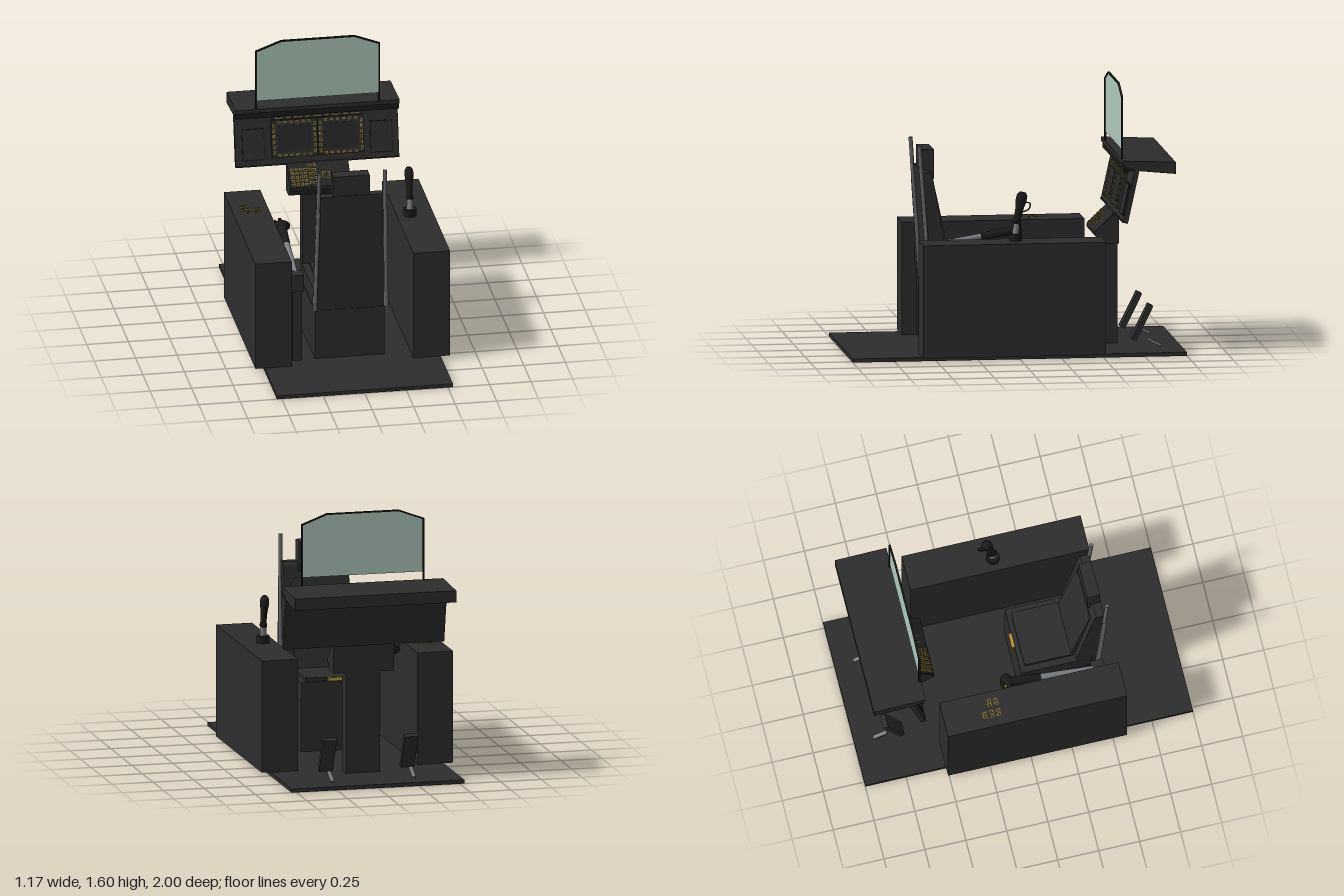
import * as THREE from 'three';

const mat = (name, color, side = THREE.FrontSide) => {
  const m = new THREE.MeshStandardMaterial({ color, side });
  m.name = name;
  return m;
};

export function createModel() {
  const body = mat('charcoal', 0x2d2d2d);
  const dark = mat('nearBlack', 0x1b1b1b);
  const screen = mat('screenGrey', 0x262626);
  const metal = mat('railGrey', 0x68676c);
  const light = mat('shaftGrey', 0x7c7f84);
  const yellow = mat('markingYellow', 0xb89b30);
  const glass = mat('greenGlass', 0xafcabc, THREE.DoubleSide);

  const root = new THREE.Group();
  root.name = 'cockpitSimulator';

  const add = (parent, name, geo, m, x = 0, y = 0, z = 0) => {
    const mesh = new THREE.Mesh(geo, m);
    mesh.name = name;
    mesh.position.set(x, y, z);
    parent.add(mesh);
    return mesh;
  };
  // Box given by its extents
  const box = (parent, name, m, x0, x1, y0, y1, z0, z1) =>
    add(parent, name, new THREE.BoxGeometry(x1 - x0, y1 - y0, z1 - z0), m,
      (x0 + x1) / 2, (y0 + y1) / 2, (z0 + z1) / 2);
  // Side profile of [z, y] points, extruded across x
  const profile = (parent, name, m, pts, width, x = 0) => {
    const shape = new THREE.Shape(pts.map(p => new THREE.Vector2(p[0], p[1])));
    const g = new THREE.ExtrudeGeometry(shape, { depth: width, bevelEnabled: false });
    g.rotateY(-Math.PI / 2).translate(width / 2, 0, 0);
    return add(parent, name, g, m, x);
  };
  // Straight round bar between two points
  const rod = (parent, name, m, a, b, r0, r1 = r0, sides = 16) => {
    const A = new THREE.Vector3(...a), B = new THREE.Vector3(...b), d = B.clone().sub(A);
    const mesh = add(parent, name, new THREE.CylinderGeometry(r1, r0, d.length(), sides), m);
    mesh.position.copy(A).add(B).multiplyScalar(0.5);
    mesh.quaternion.setFromUnitVectors(new THREE.Vector3(0, 1, 0), d.normalize());
    return mesh;
  };
  const group = (name, x, y, z, tilt = 0) => {
    const g = new THREE.Group();
    g.name = name;
    g.position.set(x, y, z);
    g.rotation.x = tilt;
    root.add(g);
    return g;
  };
  // Outlined key lying in the local xy plane
  const key = (parent, x, y, z, w = 0.017, h = 0.015) => {
    box(parent, 'keyOutline', yellow, x - w / 2, x + w / 2, y - h / 2, y + h / 2, z, z + 0.004);
    const b = 0.0035;
    box(parent, 'keyCap', body, x - w / 2 + b, x + w / 2 - b, y - h / 2 + b, y + h / 2 - b, z, z + 0.006);
  };

  // Floor and side consoles
  box(root, 'floor', body, -0.53, 0.53, 0, 0.022, -1, 1);
  box(root, 'leftSwitchConsole', body, -0.587, -0.368, 0.024, 0.7, -0.508, 0.585);
  box(root, 'stickConsole', body, 0.364, 0.585, 0.024, 0.7, -0.508, 0.585);
  const switches = group('consoleSwitches', 0, 0.7, 0, -Math.PI / 2);
  for (const [x, z] of [[-0.51, -0.265], [-0.51, -0.222], [-0.51, -0.18], [-0.44, -0.222], [-0.44, -0.18]])
    for (const s of [-1, 1]) key(switches, x + s * 0.012, -z, 0.002, 0.02, 0.022);

  // Centre pedestal with sloping keypad
  box(root, 'pedestal', body, -0.105, 0.105, 0.022, 0.65, -0.64, -0.55);
  profile(root, 'keypadHousing', body,
    [[-0.55, 0.63], [-0.495, 0.68], [-0.495, 0.695], [-0.615, 0.81], [-0.64, 0.81], [-0.64, 0.63]], 0.37, -0.005);
  const keypad = group('keypad', 0, 0.695, -0.495, -Math.atan2(0.12, 0.115));
  box(keypad, 'keypadPlate', screen, -0.185, 0.175, 0.005, 0.16, 0, 0.005);
  for (let r = 0; r < 5; r++) {
    for (let c = 0; c < 4; c++) key(keypad, -0.165 + c * 0.026, 0.022 + r * 0.024, 0.005);
    key(keypad, -0.045, 0.03 + r * 0.028, 0.005, 0.045, 0.015);
  }
  key(keypad, 0.035, 0.075, 0.005, 0.045, 0.04);

  // Instrument panel, tilted away from the seat
  const tilt = -Math.atan2(0.07, 0.32);
  const panel = group('instrumentPanel', 0, 0.8, -0.622, tilt);
  box(panel, 'panelPlate', body, -0.495, 0.49, 0, 0.335, -0.03, 0);
  box(panel, 'panelLowerTrim', dark, -0.495, 0.49, 0, 0.008, 0, 0.004);
  for (const s of [-1, 1]) {
    box(panel, 'sideDisplayFrame', dark, s * 0.385 - 0.068, s * 0.385 + 0.068, 0.035, 0.23, 0, 0.005);
    box(panel, 'sideDisplay', body, s * 0.385 - 0.063, s * 0.385 + 0.063, 0.045, 0.225, 0, 0.008);
    const cx = s * 0.14;
    box(panel, 'mainDisplayBezel', body, cx - 0.138, cx + 0.138, 0.05, 0.275, 0, 0.025);
    box(panel, 'mainDisplay', screen, cx - 0.1, cx + 0.1, 0.085, 0.24, 0.025, 0.028);
    for (let i = 0; i < 6; i++) {
      const t = i / 5 - 0.5;
      for (const e of [-1, 1]) {
        key(panel, cx + e * 0.124, 0.163 + t * 0.165, 0.025, 0.014, 0.018);
        key(panel, cx + t * 0.18, 0.163 + e * 0.1, 0.025, 0.018, 0.013);
      }
    }
  }
  box(panel, 'upperControls', screen, -0.27, 0.27, 0.278, 0.318, 0, 0.02);
  for (let i = 0; i < 9; i++) key(panel, -0.23 + i * 0.0575, 0.3, 0.02, i % 2 ? 0.022 : 0.045, 0.026);

  // Glare shield
  profile(root, 'glareShield', body,
    [[-0.623, 1.145], [-0.623, 1.17], [-0.938, 1.158], [-0.938, 1.087], [-0.72, 1.108]], 0.987, -0.002);
  box(root, 'glareShieldShadowLip', dark, -0.494, 0.489, 1.108, 1.144, -0.69, -0.632);

  // Sight glass and its frame
  const outline = [[0.37, 1.165], [0.37, 1.54], [0.22, 1.597], [-0.22, 1.597], [-0.372, 1.54], [-0.372, 1.165]];
  for (let i = 0; i < 5; i++) {
    const [a, b] = [outline[i], outline[i + 1]];
    const len = Math.hypot(b[0] - a[0], b[1] - a[1]);
    const bar = add(root, 'glassFrame', new THREE.BoxGeometry(len + 0.006, 0.009, 0.012), dark,
      (a[0] + b[0]) / 2, (a[1] + b[1]) / 2, -0.632);
    bar.rotation.z = Math.atan2(b[1] - a[1], b[0] - a[0]);
  }
  const pane = new THREE.Shape(outline.map(([x, y]) => new THREE.Vector2(x, Math.max(y, 1.22))));
  add(root, 'sightGlass', new THREE.ShapeGeometry(pane), glass, 0, 0, -0.632);

  // Seat base, pan, cushions and handle
  box(root, 'seatBase', body, -0.213, 0.207, 0.022, 0.33, 0.03, 0.49);
  box(root, 'seatPan', body, -0.21, 0.205, 0.33, 0.44, 0.03, 0.46);
  box(root, 'seatCushion', body, -0.17, 0.17, 0.44, 0.46, 0.06, 0.36);
  box(root, 'seatHandle', yellow, -0.046, 0.044, 0.445, 0.465, 0.012, 0.032);
  profile(root, 'backrest', body,
    [[0.365, 0.42], [0.478, 1.06], [0.49, 1.08], [0.54, 1.08], [0.49, 0.43], [0.485, 0.33], [0.4, 0.33]], 0.4);
  profile(root, 'backCushion', body,
    [[0.345, 0.46], [0.46, 0.985], [0.475, 0.985], [0.38, 0.46]], 0.32);
  profile(root, 'headrest', body,
    [[0.458, 1.03], [0.458, 1.205], [0.535, 1.205], [0.535, 1.06], [0.48, 1.02]], 0.22);

  // Seat rails: wide channel with a thinner tube above
  for (const s of [-1, 1]) {
    const rail = rod(root, 'railChannel', metal, [s * 0.215, 0.335, 0.495], [s * 0.202, 0.985, 0.54], 0.017, 0.017, 4);
    rail.rotateY(Math.PI / 4);
    rod(root, 'railTube', metal, [s * 0.205, 0.8, 0.527], [s * 0.197, 1.237, 0.557], 0.012);
  }

  // Rudder pedals with floor links
  for (const s of [-1, 1]) {
    const pedal = group('pedal', s * 0.25, 0.065, -0.715, -0.46);
    box(pedal, 'pedalPlate', body, -0.042, 0.042, 0, 0.23, -0.015, 0.015);
    const link = box(root, 'pedalLink', light, -0.011, 0.011, -0.008, 0.008, -0.046, 0.046);
    link.position.set(s * 0.25, 0.048, -0.84);
    link.rotation.x = -0.5;
  }

  // Throttle: post, pivot box, arm and grip
  box(root, 'throttlePost', body, -0.348, -0.292, 0.022, 0.465, 0.44, 0.5);
  box(root, 'throttlePivot', body, -0.36, -0.28, 0.468, 0.575, 0.43, 0.51);
  rod(root, 'throttleArm', light, [-0.32, 0.56, 0.45], [-0.318, 0.615, 0.1], 0.014, 0.02);
  rod(root, 'throttleGrip', dark, [-0.318, 0.612, 0.12], [-0.315, 0.645, -0.07], 0.022, 0.028);
  const head = add(root, 'throttleHead', new THREE.SphereGeometry(1, 20, 12), dark, -0.315, 0.642, -0.085);
  head.scale.set(0.054, 0.034, 0.04);
  for (const [x, y, z] of [[-0.35, 0.662, -0.1], [-0.28, 0.655, -0.075], [-0.32, 0.67, -0.11]])
    add(root, 'throttleButton', new THREE.CylinderGeometry(0.01, 0.012, 0.02, 12), dark, x, y, z);
  add(root, 'throttleMark', new THREE.CylinderGeometry(0.006, 0.006, 0.004, 12), yellow, -0.35, 0.674, -0.1);

  // Control stick: base, shaft, contoured grip and trigger guard
  add(root, 'stickBase', new THREE.CylinderGeometry(0.039, 0.039, 0.042, 24), dark, 0.443, 0.721, 0.015);
  rod(root, 'stickShaft', light, [0.443, 0.74, 0.015], [0.443, 0.82, 0.005], 0.02, 0.017);
  const grip = group('stickGrip', 0.443, 0.8, 0.01, -0.2);
  const contour = [[0, 0], [0.026, 0.002], [0.02, 0.03], [0.022, 0.09], [0.03, 0.14], [0.029, 0.175], [0.017, 0.193], [0, 0.195]];
  const handle = add(grip, 'gripHandle',
    new THREE.LatheGeometry(contour.map(p => new THREE.Vector2(...p)), 20), dark);
  handle.scale.set(0.88, 1, 1.1);
  const guard = new THREE.CatmullRomCurve3([[0.135, -0.02], [0.135, -0.056], [0.1, -0.056], [0.075, -0.02]]
    .map(([y, z]) => new THREE.Vector3(0, y, z)));
  add(grip, 'triggerGuard', new THREE.TubeGeometry(guard, 16, 0.004, 8), dark);

  return root;
}
